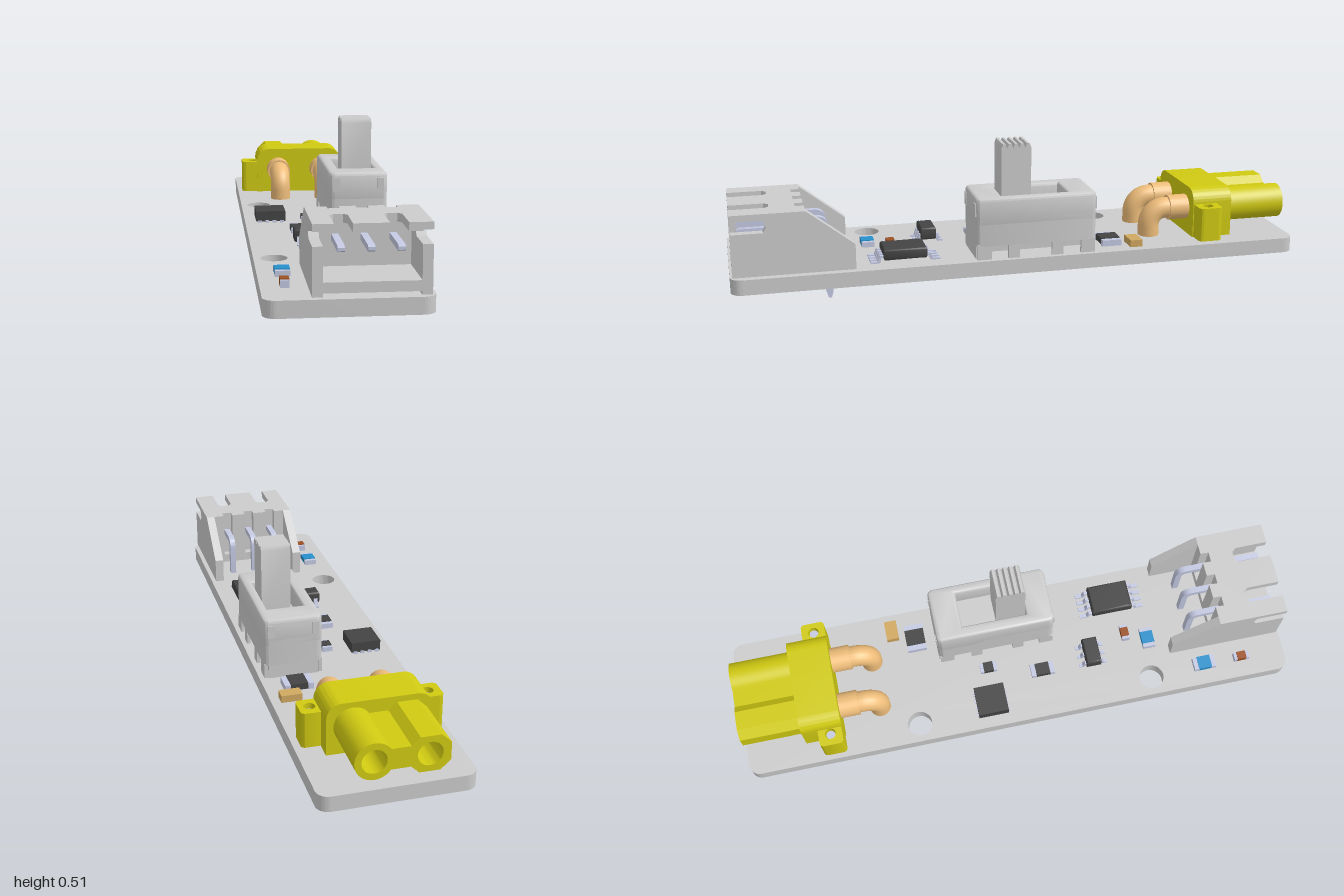
import * as THREE from 'three';
import { toCreasedNormals } from 'three/addons/utils/BufferGeometryUtils.js';

const mat = (color) => new THREE.MeshStandardMaterial({ color, side: THREE.DoubleSide });
const M = {
  grey: mat(0xcccccc), yellow: mat(0xd0ca12), gold: mat(0xeebd7a), metal: mat(0xc4c9e2),
  dark: mat(0x444444), blue: mat(0x2590cc), brown: mat(0x9c5022), amber: mat(0xd0a860),
};

function add(parent, name, geo, material) {
  const mesh = new THREE.Mesh(geo, material);
  mesh.name = name;
  parent.add(mesh);
  return mesh;
}

// Box given by its limits on each axis
function box(parent, name, material, [x0, x1], [y0, y1], [z0, z1]) {
  const g = new THREE.BoxGeometry(x1 - x0, y1 - y0, z1 - z0);
  return add(parent, name, g.translate((x0 + x1) / 2, (y0 + y1) / 2, (z0 + z1) / 2), material);
}

const poly = (pts) => new THREE.Shape(pts.map(([a, b]) => new THREE.Vector2(a, b)));
function extrude(shape, depth, bevel = 0) {
  const g = new THREE.ExtrudeGeometry(shape, {
    depth: depth - 2 * bevel, curveSegments: 16, bevelEnabled: bevel > 0,
    bevelSize: bevel, bevelOffset: -bevel, bevelThickness: bevel, bevelSegments: 3,
  });
  return toCreasedNormals(g.translate(0, 0, bevel), 0.6);
}
// Plan outline (x, -z) raised from y0 to y1
const plan = (shape, y0, y1, bevel) => extrude(shape, y1 - y0, bevel).rotateX(-Math.PI / 2).translate(0, y0, 0);
// Side outline (z, y) spread across x
const side = (shape, x0, x1) => extrude(shape, x1 - x0).rotateY(-Math.PI / 2).translate(x1, 0, 0);

function roundRect(x0, y0, x1, y1, r) {
  const s = new THREE.Shape();
  s.absarc(x1 - r, y0 + r, r, -Math.PI / 2, 0);
  s.absarc(x1 - r, y1 - r, r, 0, Math.PI / 2);
  s.absarc(x0 + r, y1 - r, r, Math.PI / 2, Math.PI);
  s.absarc(x0 + r, y0 + r, r, Math.PI, Math.PI * 1.5);
  s.closePath();
  return s;
}
const circle = (x, y, r) => new THREE.Path().absarc(x, y, r, 0, Math.PI * 2, true);

const TOP = 0.118;

function powerConnector() {
  const g = new THREE.Group();
  g.name = 'powerConnector';
  const cy = 0.215;

  // Keyed socket: one chamfered lobe, one round lobe
  const s = new THREE.Shape();
  s.moveTo(-0.03, cy - 0.035);
  for (const [x, y] of [[-0.057, -0.06], [-0.123, -0.06], [-0.155, -0.03], [-0.155, 0.03], [-0.123, 0.06], [-0.057, 0.06], [-0.03, 0.035]])
    s.lineTo(x, cy + y);
  s.absarc(0.083, cy, 0.062, Math.PI - 0.6, -Math.PI + 0.6, true);
  s.closePath();
  s.holes.push(circle(-0.09, cy, 0.04), circle(0.083, cy, 0.04));
  add(g, 'socket', extrude(s, 0.215).translate(0, 0, -1), M.yellow);
  add(g, 'flange', extrude(roundRect(-0.175, 0.122, 0.168, 0.295, 0.05), 0.145).translate(0, 0, -0.785), M.yellow);
  box(g, 'flangeBase', M.yellow, [-0.175, 0.168], [0.12, 0.2], [-0.785, -0.64]);

  for (const m of [-1, 1]) {
    // Drilled ear with its locating pin
    const ear = roundRect(m < 0 ? -0.235 : 0.15, 0.643, m < 0 ? -0.155 : 0.23, 0.728, 0.015);
    ear.holes.push(circle(m * 0.194, 0.685, 0.019));
    add(g, 'ear', plan(ear, 0.122, 0.243), M.yellow);
    add(g, 'earPin', new THREE.CylinderGeometry(0.016, 0.016, 0.16, 16).translate(m * 0.194, 0.145, -0.685), M.metal);
    add(g, 'earPinTip', new THREE.CylinderGeometry(0.016, 0.011, 0.015, 16).translate(m * 0.194, 0.0575, -0.685), M.metal);

    // Bent contact
    const x = m < 0 ? -0.09 : 0.085;
    const v = (y, z) => new THREE.Vector3(x, y, z);
    const path = new THREE.CurvePath();
    path.add(new THREE.LineCurve3(v(cy, -0.65), v(cy, -0.56)));
    path.add(new THREE.CubicBezierCurve3(v(cy, -0.56), v(cy, -0.525), v(cy - 0.025, -0.5), v(cy - 0.06, -0.5)));
    path.add(new THREE.LineCurve3(v(cy - 0.06, -0.5), v(0.1, -0.5)));
    add(g, 'contact', new THREE.TubeGeometry(path, 40, 0.038, 20), M.gold);
    add(g, 'contactCollar', new THREE.CylinderGeometry(0.045, 0.045, 0.07, 24).rotateX(Math.PI / 2).translate(x, cy, -0.605), M.gold);
    add(g, 'contactTail', new THREE.CylinderGeometry(0.025, 0.017, 0.06, 20).translate(x, 0.08, -0.5), M.gold);
  }
  return g;
}

function slideSwitch() {
  const g = new THREE.Group();
  g.name = 'slideSwitch';
  // Shell with a slot in its top, open skirt below
  const shell = roundRect(0.03, -0.172, 0.235, 0.255, 0.02);
  shell.holes.push(poly([[0.073, -0.076], [0.073, 0.156], [0.2, 0.156], [0.2, -0.076]]));
  add(g, 'shell', plan(shell, 0.23, 0.335, 0.012), M.grey);
  add(g, 'shellBase', plan(roundRect(0.03, -0.172, 0.235, 0.255, 0.02), 0.165, 0.26), M.grey);
  for (const z of [-0.249, 0.166]) {
    box(g, 'endPanel', M.grey, [0.045, 0.22], [TOP, 0.18], [z - 0.006, z + 0.006]);
    for (const x of [0.055, 0.21]) // Pressed corner tabs
      box(g, 'cornerTab', M.grey, [x - 0.012, x + 0.012], [0.27, 0.315], [z - 0.009, z + 0.009]);
  }
  for (const x of [0.036, 0.229])
    for (const [z, w] of [[0.145, 0.025], [0.04, 0.02], [-0.115, 0.02], [-0.225, 0.025]])
      box(g, 'skirtFoot', M.grey, [x - 0.006, x + 0.006], [TOP, 0.17], [z - w, z + w]);
  box(g, 'innerBase', M.grey, [0.05, 0.215], [0.14, 0.17], [-0.235, 0.155]);

  // Ridged slider
  const pts = [[-0.03, 0.25], [0.075, 0.25]];
  for (let i = 0; i < 5; i++) {
    const z = 0.075 - i * 0.021;
    pts.push([z, 0.495], [z - 0.006, 0.51], [z - 0.015, 0.51], [z - 0.021, 0.495]);
  }
  add(g, 'slider', side(poly(pts), 0.085, 0.19), M.grey);

  // Terminals and end lugs under the board
  for (const z of [0.06, -0.04, -0.145])
    add(g, 'terminal', side(poly([[z - 0.013, 0.15], [z - 0.013, 0.035], [z - 0.005, 0.025], [z + 0.005, 0.025], [z + 0.013, 0.035], [z + 0.013, 0.15]]), 0.124, 0.138), M.metal);
  for (const z of [0.165, -0.243])
    box(g, 'lug', M.grey, [0.115, 0.15], [0.038, 0.13], [z - 0.007, z + 0.007]);
  return g;
}

function pinHeader() {
  const g = new THREE.Group();
  g.name = 'pinHeader';
  const pins = [-0.025, 0.0625, 0.15];
  const cheek = poly([[0.585, 0.122], [0.992, 0.122], [0.992, 0.27], [0.885, 0.27], [0.875, 0.29], [0.885, 0.313],
    [0.992, 0.313], [0.992, 0.335], [0.745, 0.335], [0.585, 0.21]]);
  add(g, 'leftWall', side(cheek, 0.206, 0.237), M.grey);
  add(g, 'rightWall', side(cheek, -0.111, -0.08), M.grey);
  box(g, 'floor', M.grey, [-0.08, 0.206], [0.133, 0.165], [0.745, 0.992]);

  // Rear wall and roof share grooves above the pins; the roof also has front notches
  const grooved = (zFront, notches) => {
    const pts = [[-0.08, -0.745]];
    for (const x of pins) pts.push([x - 0.018, -0.745], [x - 0.018, -0.775], [x + 0.018, -0.775], [x + 0.018, -0.745]);
    pts.push([0.206, -0.745], [0.206, -zFront]);
    for (const x of notches) pts.push([x + 0.027, -zFront], [x + 0.027, -0.875], [x + 0.015, -0.86], [x - 0.015, -0.86], [x - 0.027, -0.875], [x - 0.027, -zFront]);
    pts.push([-0.08, -zFront]);
    return poly(pts);
  };
  add(g, 'rearWall', plan(grooved(0.805, []), 0.133, 0.32), M.grey);
  add(g, 'roof', plan(grooved(0.992, [0.138, -0.022]), 0.309, 0.335), M.grey);

  // Bent square pins
  const s = new THREE.Shape();
  s.moveTo(0.96, 0.245);
  s.lineTo(0.97, 0.25); s.lineTo(0.97, 0.26); s.lineTo(0.96, 0.265);
  s.lineTo(0.70, 0.265);
  s.quadraticCurveTo(0.658, 0.265, 0.658, 0.223);
  s.lineTo(0.658, 0.02); s.lineTo(0.664, 0); s.lineTo(0.674, 0); s.lineTo(0.68, 0.02);
  s.lineTo(0.68, 0.223);
  s.quadraticCurveTo(0.68, 0.245, 0.70, 0.245);
  s.closePath();
  for (const x of pins) add(g, 'pin', side(s, x - 0.0105, x + 0.0105), M.metal);
  return g;
}

// Two-ended chip part, length l along x, turned onto z when upright
function chip(name, x, z, l, w, h, color, upright) {
  const g = new THREE.Group();
  g.name = name;
  box(g, 'body', color, [-l * 0.3, l * 0.3], [0.002, h], [-w / 2, w / 2]);
  for (const m of [-1, 1]) {
    const a = m * l * 0.28, b = m * l * 0.5;
    box(g, 'endCap', M.metal, [Math.min(a, b), Math.max(a, b)], [0, h - 0.003], [-w / 2, w / 2]);
  }
  g.position.set(x, TOP, z);
  if (upright) g.rotation.y = Math.PI / 2;
  return g;
}

// Moulded package with bent leads along both z ends
function leadedChip(name, x, z, w, d, h, reach, leads, pitch) {
  const g = new THREE.Group();
  g.name = name;
  add(g, 'body', plan(roundRect(-w / 2, -d / 2, w / 2, d / 2, 0.003), 0.01, h, 0.008), M.dark);
  const e = d / 2 - 0.005, f = d / 2 + reach, k = e + reach * 0.4, y = h * 0.55;
  const lead = poly([[e, y], [k, y], [k + 0.008, 0.006], [f, 0.006], [f, 0], [k, 0], [k - 0.006, y - 0.007], [e, y - 0.007]]);
  for (let i = 0; i < leads; i++) {
    const lx = (i - (leads - 1) / 2) * pitch;
    for (const turn of [0, Math.PI])
      add(g, 'lead', side(lead, lx - 0.007, lx + 0.007), M.metal).rotation.y = turn;
  }
  g.position.set(x, TOP, z);
  return g;
}

export function createModel() {
  const model = new THREE.Group();
  model.name = 'circuitBoardModule';

  // Board with two mounting holes
  const outline = roundRect(-0.252, -1, 0.252, 1, 0.04);
  outline.holes.push(circle(-0.185, 0.37, 0.044), circle(-0.185, -0.497, 0.044));
  add(model, 'board', plan(outline, 0.065, TOP), M.grey);

  model.add(powerConnector(), slideSwitch(), pinHeader());

  // Small surface parts
  model.add(
    chip('largeResistor', 0.14, -0.328, 0.1, 0.07, 0.025, M.dark, false),
    chip('smallResistor', -0.028, -0.085, 0.06, 0.036, 0.02, M.dark, true),
    chip('middleResistor', -0.077, 0.108, 0.085, 0.045, 0.022, M.dark, true),
    chip('blueResistor', -0.036, 0.515, 0.075, 0.045, 0.022, M.blue, false),
    chip('sideBlueResistor', -0.175, 0.697, 0.08, 0.047, 0.022, M.blue, true),
    chip('capacitor', 0.0, 0.437, 0.055, 0.028, 0.026, M.brown, false),
    chip('sideCapacitor', -0.178, 0.837, 0.055, 0.028, 0.026, M.brown, true),
    leadedChip('sixLeadChip', -0.055, 0.297, 0.1, 0.055, 0.054, 0.024, 3, 0.034),
    leadedChip('eightLeadChip', 0.14, 0.411, 0.107, 0.15, 0.048, 0.045, 4, 0.027),
  );
  box(model, 'lamp', M.amber, [0.148, 0.22], [TOP, 0.143], [-0.431, -0.387]);

  // Flat power chip with edge contacts
  box(model, 'powerChip', M.dark, [-0.212, -0.106], [TOP + 0.004, 0.159], [-0.155, -0.046]);
  for (let i = 0; i < 4; i++)
    for (const [z0, z1] of [[-0.16, -0.15], [-0.051, -0.041]]) {
      const x = -0.199 + i * 0.0267;
      box(model, 'powerChipContact', M.metal, [x - 0.007, x + 0.007], [TOP, 0.126], [z0, z1]);
    }
  return model;
}
